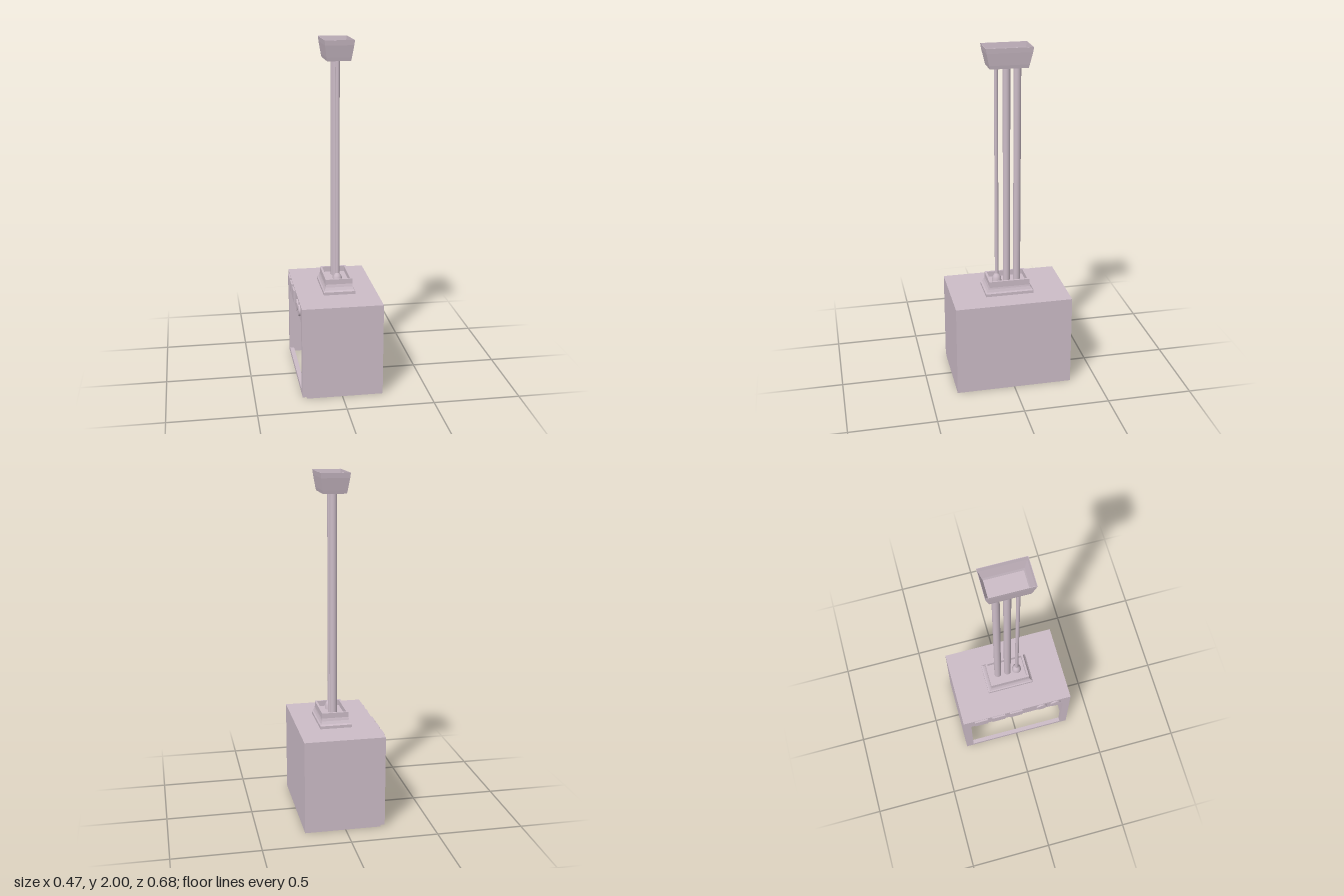
import * as THREE from 'three';

const material = new THREE.MeshStandardMaterial({ color: 0xccbcc7 });
const flat = new THREE.MeshStandardMaterial({ color: 0xccbcc7, flatShading: true });

// Stacked rectangular sections [halfX, halfZ, y] joined by flat faces
function rectLoft(sections) {
  const corners = [[1, 1], [1, -1], [-1, -1], [-1, 1]];
  const pos = [], index = [];
  for (const [hx, hz, y] of sections)
    for (const [sx, sz] of corners) pos.push(sx * hx, y, sz * hz);
  for (let s = 0; s < sections.length - 1; s++)
    for (let i = 0; i < 4; i++) {
      const a = s * 4 + i, b = s * 4 + (i + 1) % 4;
      index.push(a, b, b + 4, a, b + 4, a + 4);
    }
  const g = new THREE.BufferGeometry();
  g.setAttribute('position', new THREE.Float32BufferAttribute(pos, 3));
  g.setIndex(index);
  const out = g.toNonIndexed();
  out.computeVertexNormals();
  return out;
}

export function createModel() {
  const root = new THREE.Group();
  const add = (parent, name, geometry, x = 0, y = 0, z = 0, mat = material) => {
    const m = new THREE.Mesh(geometry, mat);
    m.name = name;
    m.position.set(x, y, z);
    parent.add(m);
    return m;
  };
  // Box given by its min and max corners
  const box = (parent, name, x0, x1, y0, y1, z0, z1) =>
    add(parent, name, new THREE.BoxGeometry(x1 - x0, y1 - y0, z1 - z0),
      (x0 + x1) / 2, (y0 + y1) / 2, (z0 + z1) / 2);

  // Hollow cabinet: open underneath and through the front frame
  const X0 = -0.23, XF = -0.205, X1 = 0.235, H = 0.545, Z = 0.342, T = 0.02;
  const cabinet = new THREE.Group();
  cabinet.name = 'cabinet';
  root.add(cabinet);
  box(cabinet, 'topPlate', XF, X1, H - T, H, -Z, Z);
  box(cabinet, 'backWall', X1 - T, X1, 0, H - T, -Z, Z);
  box(cabinet, 'endWallFront', XF, X1 - T, 0, H - T, Z - T, Z);
  box(cabinet, 'endWallRear', XF, X1 - T, 0, H - T, -Z, -Z + T);

  // Frame with a large opening
  const rect = (C, z0, z1, y0, y1) => {
    const p = new C();
    p.moveTo(z0, y0);
    p.lineTo(z1, y0);
    p.lineTo(z1, y1);
    p.lineTo(z0, y1);
    p.closePath();
    return p;
  };
  const frame = rect(THREE.Shape, -Z, Z, 0.01, H);
  frame.holes.push(rect(THREE.Path, -Z + 0.045, Z - 0.045, 0.035, 0.45));
  const frameGeo = new THREE.ExtrudeGeometry(frame, { depth: XF - X0, bevelEnabled: false });
  frameGeo.rotateY(-Math.PI / 2);
  add(cabinet, 'openingFrame', frameGeo, XF);

  // Control strip: three square buttons and two round knobs
  const controls = new THREE.Group();
  controls.name = 'controls';
  root.add(controls);
  for (const z of [-0.232, -0.121, -0.009])
    box(controls, 'button', X0 - 0.01, X0, 0.47, 0.54, z - 0.041, z + 0.041);
  for (const z of [0.156, 0.245]) {
    const knob = new THREE.CylinderGeometry(0.033, 0.033, 0.01, 24);
    knob.rotateZ(Math.PI / 2);
    add(controls, 'knob', knob, X0 - 0.005, 0.505, z);
  }

  // Stepped collar with a recessed floor
  const CX = 0.015;
  add(root, 'collar', rectLoft([
    [0.092, 0.142, H], [0.092, 0.142, 0.562], [0.086, 0.134, 0.57], [0.08, 0.125, 0.586],
    [0.078, 0.122, 0.596], [0.078, 0.12, 0.602], [0.078, 0.12, 0.632],
    [0.066, 0.108, 0.632], [0.066, 0.108, 0.6], [0, 0, 0.6],
  ]), CX, 0, 0, flat);

  // Flared open tray on top of the poles
  add(root, 'topTray', rectLoft([
    [0, 0, 1.885], [0.066, 0.107, 1.885], [0.07, 0.112, 1.905], [0.08, 0.127, 1.972],
    [0.083, 0.131, 2], [0.081, 0.129, 2], [0.078, 0.125, 1.972], [0.068, 0.11, 1.905],
    [0.064, 0.105, 1.888], [0, 0, 1.888],
  ]), CX, 0, 0, flat);

  // Two thick poles and one thin pole
  const y0 = 0.6, y1 = 1.886;
  for (const [name, r, z] of [['thickPole', 0.021, 0.002], ['thickPole', 0.021, -0.059], ['thinPole', 0.011, 0.061]])
    add(root, name, new THREE.CylinderGeometry(r, r, y1 - y0, 24), CX, (y0 + y1) / 2, z);

  // Flared foot of the thin pole
  const foot = [[0.028, 0.6], [0.026, 0.625], [0.02, 0.638], [0.011, 0.652]];
  add(root, 'thinPoleFoot', new THREE.LatheGeometry(foot.map(p => new THREE.Vector2(...p)), 24), CX, 0, 0.061);

  return root;
}
